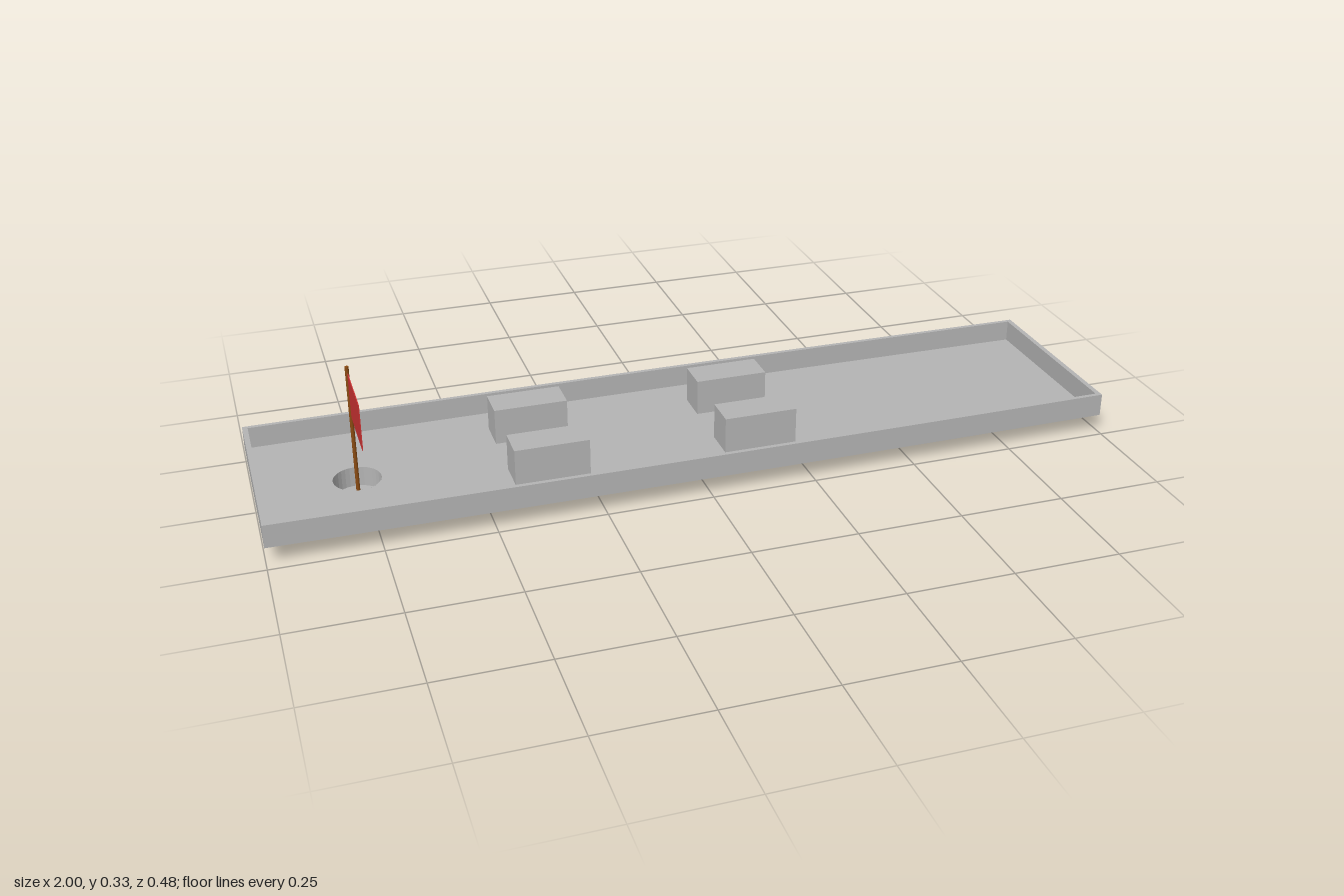
import * as THREE from 'three';

const grey = new THREE.MeshStandardMaterial({ name: 'concreteGrey', color: 0xb4b4b4, flatShading: true, side: THREE.DoubleSide });
const brown = new THREE.MeshStandardMaterial({ name: 'poleBrown', color: 0x8a4b12 });
const red = new THREE.MeshStandardMaterial({ name: 'flagRed', color: 0xcc3333, side: THREE.DoubleSide });

const BASE = 0.045, FLOOR = 0.048, RIM = 0.1;
const CUP_X = -0.77, CUP_R = 0.055;

// Rectangle whose long sides bow slightly outwards
function bowedOutline(halfX, halfZ, bow, steps = 12) {
  const points = [];
  for (const side of [-1, 1]) {
    for (let i = 0; i <= steps; i++) {
      const t = -1 + (2 * i) / steps;
      points.push(new THREE.Vector2(-side * t * halfX, side * (halfZ + bow * (1 - t * t))));
    }
  }
  return points;
}

// Extrude a ground-plan shape upwards from height y
function slab(shape, y, height) {
  const geo = new THREE.ExtrudeGeometry(shape, { depth: height, bevelEnabled: false, curveSegments: 32 });
  return geo.rotateX(-Math.PI / 2).translate(0, y, 0);
}

export function createModel() {
  const model = new THREE.Group();
  model.name = 'miniGolfLane';
  const add = (name, geometry, material, x = 0, y = 0, z = 0) => {
    const mesh = new THREE.Mesh(geometry, material);
    mesh.name = name;
    mesh.position.set(x, y, z);
    model.add(mesh);
    return mesh;
  };

  // Thin floor with a round opening for the cup
  const floor = new THREE.Shape(bowedOutline(0.988, 0.225, 0.005));
  floor.holes.push(new THREE.Path().absarc(CUP_X, 0, CUP_R, 0, Math.PI * 2, true));
  add('floor', slab(floor, BASE, FLOOR - BASE), grey);

  // Border wall around the lane
  const wall = new THREE.Shape(bowedOutline(1, 0.235, 0.0055));
  wall.holes.push(new THREE.Path(bowedOutline(0.988, 0.225, 0.005).reverse()));
  add('borderWall', slab(wall, BASE, RIM - BASE), grey);

  // Open cup hanging under the floor
  add('cupWall', new THREE.CylinderGeometry(CUP_R, CUP_R, FLOOR, 32, 1, true), grey, CUP_X, FLOOR / 2, 0);
  add('cupBottom', new THREE.CircleGeometry(CUP_R, 32).rotateX(-Math.PI / 2), grey, CUP_X, 0, 0);

  // Four block obstacles
  for (const x of [-0.347, 0.153]) {
    for (const z of [0.1, -0.107]) {
      add('obstacle', new THREE.BoxGeometry(0.175, 0.135 - BASE, 0.081), grey, x, (0.135 + BASE) / 2, z);
    }
  }

  // Flag on its pole, standing in the cup
  add('flagPole', new THREE.CylinderGeometry(0.0045, 0.0045, 0.329, 12), brown, CUP_X, 0.1655, 0);
  add('flag', new THREE.BoxGeometry(0.002, 0.108, 0.163), red, CUP_X, 0.264, 0.0935);

  return model;
}
